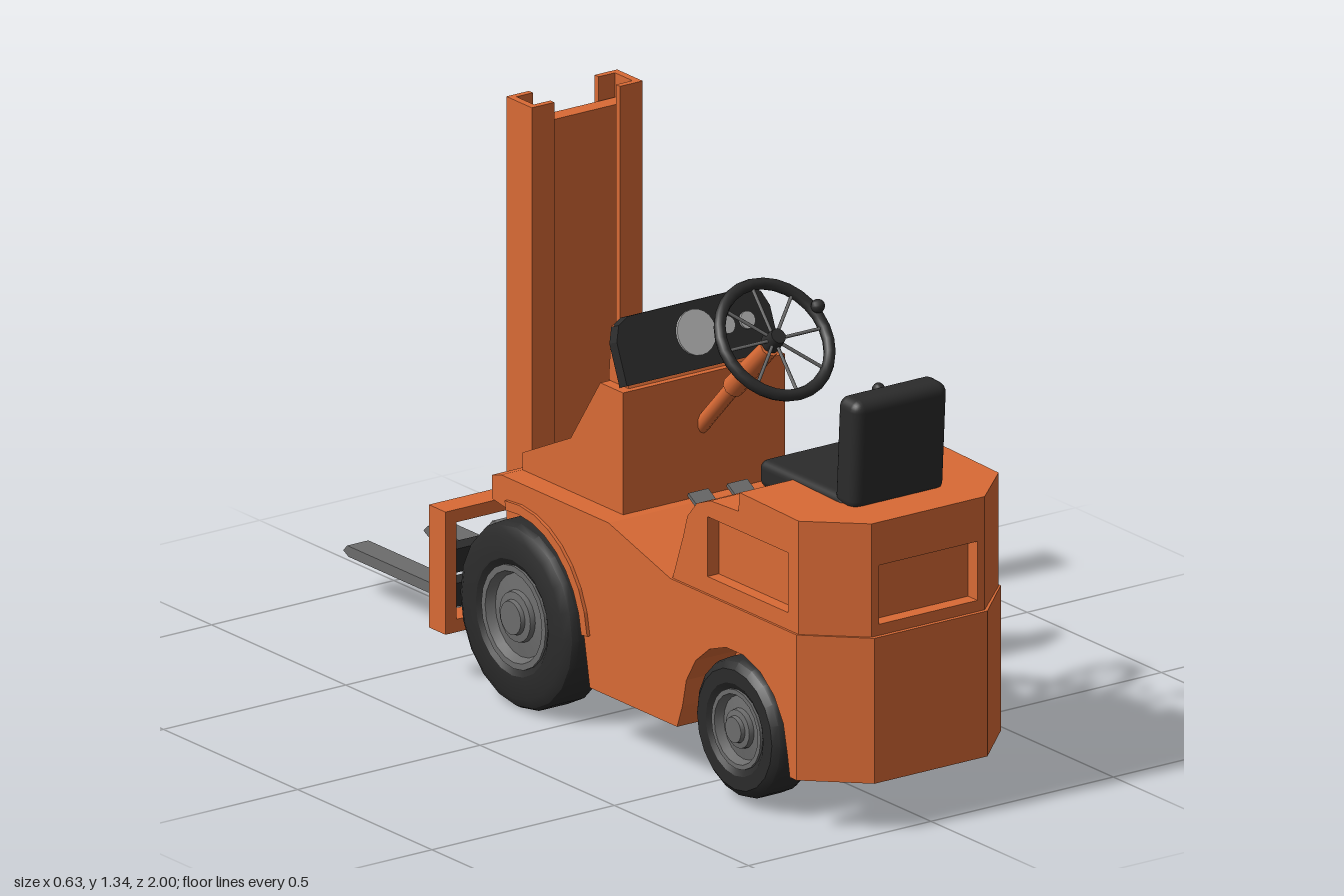
import * as THREE from 'three';
import { toCreasedNormals } from 'three/addons/utils/BufferGeometryUtils.js';
import { RoundedBoxGeometry } from 'three/addons/geometries/RoundedBoxGeometry.js';

const mat = (color) => new THREE.MeshStandardMaterial({ color });
const orange = mat(0xd96a35), black = mat(0x2b2b2b), grey = mat(0x6c6c6c), pale = mat(0xb8b8b8);

export function createModel() {
  const root = new THREE.Group();
  const add = (name, geo, material, x = 0, y = 0, z = 0, parent = root) => {
    const m = new THREE.Mesh(geo, material);
    m.name = name;
    m.position.set(x, y, z);
    parent.add(m);
    return m;
  };
  // box given by its limits on each axis
  const box = (name, material, x0, x1, y0, y1, z0, z1) =>
    add(name, new THREE.BoxGeometry(x1 - x0, y1 - y0, z1 - z0), material, (x0 + x1) / 2, (y0 + y1) / 2, (z0 + z1) / 2);
  const shapeOf = (pts) => new THREE.Shape(pts.map((p) => new THREE.Vector2(...p)));
  // side profile in (z, y), extruded across x
  const slab = (name, material, pts, x0, x1, hole) => {
    const s = shapeOf(pts);
    if (hole) s.holes.push(new THREE.Path(hole.map((p) => new THREE.Vector2(...p))));
    const g = new THREE.ExtrudeGeometry(s, { depth: x1 - x0, bevelEnabled: false }).rotateY(-Math.PI / 2);
    return add(name, g, material, x1);
  };
  // plan outline in (x, z), extruded up y
  const plan = (name, material, pts, y0, y1) => {
    const g = new THREE.ExtrudeGeometry(shapeOf(pts.map(([x, z]) => [x, -z])), { depth: y1 - y0, bevelEnabled: false });
    return add(name, g.rotateX(-Math.PI / 2), material, 0, y0);
  };
  // straight rod between two points
  const rod = (name, material, a, b, r0, r1 = r0, sides = 10) => {
    const p = new THREE.Vector3(...a), q = new THREE.Vector3(...b), d = q.clone().sub(p);
    const m = add(name, new THREE.CylinderGeometry(r1, r0, d.length(), sides), material);
    m.position.copy(p).lerp(q, 0.5);
    m.quaternion.setFromUnitVectors(new THREE.Vector3(0, 1, 0), d.normalize());
    return m;
  };

  // lower hull: full core, and outer sides with wheel arches
  const floorTop = [[-0.22, 0.525], [0.18, 0.525], [0.41, 0.46], [0.88, 0.46]];
  slab('hullCore', orange, [[0.88, 0.12], [-0.1, 0.12], [-0.255, 0.25], [-0.255, 0.515], ...floorTop], -0.165, 0.165);
  const arch = (cz, cy, r, a0, a1, n) => Array.from({ length: n + 1 }, (_, i) => {
    const a = a0 + (a1 - a0) * i / n;
    return [cz + r * Math.cos(a), cy + r * Math.sin(a)];
  });
  const sideProfile = [
    [0.88, 0.12], [0.855, 0.12], ...arch(0.65, 0.165, 0.195, 0.05, Math.PI - 0.05, 9), [0.435, 0.12],
    [0.11, 0.12], ...arch(-0.15, 0.215, 0.24, 0.05, 1.75, 8), [-0.255, 0.46], [-0.255, 0.515], ...floorTop];
  for (const s of [-1, 1]) {
    slab('hullSide', orange, sideProfile, s > 0 ? 0.165 : -0.28, s > 0 ? 0.28 : -0.165);
    // raised lip over the front wheel
    const lip = [...arch(-0.15, 0.215, 0.24, 0.1, 1.75, 8), ...arch(-0.15, 0.215, 0.262, 0.1, 1.75, 8).reverse()];
    slab('fenderLip', orange, lip, s * 0.282 - 0.006, s * 0.282 + 0.006);
  }

  // seat deck, with a recess in its right-hand side
  const deck = [[0.88, 0.46], [0.88, 0.725], [0.66, 0.73], [0.655, 0.685], [0.55, 0.68], [0.5, 0.66],
    [0.465, 0.62], [0.45, 0.57], [0.41, 0.46]];
  slab('deck', orange, deck, -0.243, 0.274);
  slab('deckSidePanel', orange, deck, -0.274, -0.243, [[0.54, 0.5], [0.84, 0.5], [0.84, 0.64], [0.54, 0.64]]);

  // counterweight with cut corners and a recessed panel
  const tail = (w, zEnd, notch = []) => [[-w, 0.88], [-0.155, zEnd], ...notch, [0.155, zEnd], [w, 0.88]];
  plan('counterweight', orange, tail(0.28, 1), 0.12, 0.46);
  plan('counterweightLow', orange, tail(0.274, 0.99), 0.46, 0.486);
  plan('counterweightPanel', orange, tail(0.274, 0.99, [[-0.135, 0.99], [-0.135, 0.955], [0.135, 0.955], [0.135, 0.99]]), 0.486, 0.624);
  plan('counterweightTop', orange, tail(0.274, 0.99), 0.624, 0.725);

  // hood and cowl
  slab('hood', orange, [[0.155, 0.52], [0.155, 0.81], [0.07, 0.81], [-0.04, 0.65], [-0.22, 0.565], [-0.22, 0.52]], -0.222, 0.222);
  slab('dashSupport', orange, [[0.14, 0.81], [0.085, 0.94], [0.075, 0.94], [0.065, 0.81]], -0.195, 0.195);

  // dashboard with gauges
  const dash = new THREE.Group();
  dash.name = 'dashboard';
  dash.position.set(0, 0.815, 0.135);
  dash.rotation.x = -0.39;
  root.add(dash);
  const dashShape = shapeOf([[-0.21, 0], [0.21, 0], [0.21, 0.1], [0.195, 0.135], [0.165, 0.15], [-0.165, 0.15], [-0.195, 0.135], [-0.21, 0.1]]);
  add('dashPanel', new THREE.ExtrudeGeometry(dashShape, { depth: 0.03, bevelEnabled: false }), black, 0, 0, -0.01, dash);
  for (const [x, r] of [[0, 0.052], [0.085, 0.02], [0.14, 0.02]])
    add('gauge', new THREE.CylinderGeometry(r, r, 0.01, 20).rotateX(Math.PI / 2), pale, x, 0.08, 0.021, dash);

  // steering column and wheel
  rod('columnLower', orange, [0, 0.67, 0.13], [0, 0.83, 0.285], 0.018);
  rod('columnUpper', orange, [0, 0.81, 0.265], [0, 0.94, 0.4], 0.026, 0.022);
  const steer = new THREE.Group();
  steer.name = 'steeringWheel';
  steer.position.set(0, 0.963, 0.418);
  steer.rotation.x = -0.71;
  root.add(steer);
  add('steeringRim', new THREE.TorusGeometry(0.136, 0.014, 8, 28), black, 0, 0, 0, steer);
  add('steeringHub', new THREE.CylinderGeometry(0.018, 0.024, 0.04, 12).rotateX(Math.PI / 2), black, 0, 0, 0, steer);
  for (let i = 0; i < 4; i++) {
    const spoke = add('spokePair', new THREE.CylinderGeometry(0.004, 0.004, 0.26, 6), grey, 0, 0, 0, steer);
    spoke.rotation.z = i * Math.PI / 4;
  }
  add('steeringKnob', new THREE.SphereGeometry(0.016, 10, 8), black, 0.128, 0.045, 0.022, steer);

  // seat
  add('seatCushion', new RoundedBoxGeometry(0.26, 0.065, 0.32, 3, 0.02), black, 0, 0.71, 0.69);
  const back = add('seatBack', new RoundedBoxGeometry(0.257, 0.26, 0.078, 3, 0.025), black, 0, 0.843, 0.852);
  back.rotation.x = 0.06;

  // hand levers: base z, knob x and z
  for (const [x, z0, z1] of [[0.18, 0.57, 0.595], [0.21, 0.55, 0.52], [0.25, 0.57, 0.595]]) {
    const path = new THREE.CatmullRomCurve3([[x - 0.01, 0.67, z0], [x - 0.01, 0.74, z0], [x, 0.78, z1], [x, 0.825, z1]]
      .map((p) => new THREE.Vector3(...p)));
    add('lever', new THREE.TubeGeometry(path, 10, 0.006, 6), grey);
    add('leverKnob', new THREE.SphereGeometry(0.015, 10, 8), black, x, 0.832, z1);
  }

  // pedals
  for (const x of [-0.057, 0.05]) {
    const pedal = add('pedal', new THREE.BoxGeometry(0.055, 0.008, 0.125), grey, x, 0.528, 0.263);
    pedal.rotation.x = 0.53;
    rod('pedalStem', grey, [x, 0.48, 0.22], [x, 0.535, 0.25], 0.007);
  }

  // wheels: tyre and stepped hub turned about the axle
  const turned = (pts, sides) => toCreasedNormals(new THREE.LatheGeometry(
    pts.map((p) => new THREE.Vector2(...p)), sides).rotateZ(-Math.PI / 2), 0.55);
  const wheel = (name, side, x, y, z, r, rim, w) => {
    const g = new THREE.Group();
    g.name = name;
    g.position.set(side * x, y, z);
    if (side < 0) g.rotation.y = Math.PI;
    root.add(g);
    const h = w / 2, c = r * 0.13;
    add('tyre', turned([[rim, -h + 0.01], [rim + 0.015, -h], [r - c, -h], [r - c * 0.25, -h + 0.012], [r, -h + 0.025],
      [r, h - 0.025], [r - c * 0.25, h - 0.012], [r - c, h], [rim + 0.015, h], [rim, h - 0.01], [rim, -h + 0.01]], 20), black, 0, 0, 0, g);
    add('hub', turned([[0, -h + 0.02], [rim, -h + 0.02], [rim, h - 0.004], [rim * 0.88, h - 0.004], [rim * 0.8, h - 0.025],
      [rim * 0.5, h - 0.02], [rim * 0.48, h - 0.008], [rim * 0.34, h - 0.006], [rim * 0.32, h + 0.004], [0, h + 0.004]], 20), grey, 0, 0, 0, g);
  };
  for (const s of [-1, 1]) {
    wheel('frontWheel', s, 0.237, 0.215, -0.15, 0.215, 0.12, 0.13);
    wheel('rearWheel', s, 0.227, 0.176, 0.655, 0.16, 0.092, 0.115);
  }
  rod('frontAxle', grey, [-0.2, 0.215, -0.15], [0.2, 0.215, -0.15], 0.03);
  rod('rearAxle', grey, [-0.2, 0.176, 0.655], [0.2, 0.176, 0.655], 0.03);

  // mast: two channels open to the middle, with a web plate and chains
  for (const s of [-1, 1]) {
    const rail = [[0.152, -0.28], [0.152, -0.375], [0.09, -0.375], [0.09, -0.36], [0.135, -0.36], [0.135, -0.295], [0.09, -0.295], [0.09, -0.28]];
    plan('mastRail', orange, rail.map(([x, z]) => [s * x, z]), 0.09, 1.34);
    box('liftChain', black, s * 0.062 - 0.012, s * 0.062 + 0.012, 0.15, 1.0, -0.378, -0.35);
  }
  box('mastPlate', orange, -0.135, 0.135, 0.1, 1.285, -0.355, -0.315);
  box('mastMount', orange, -0.08, 0.08, 0.14, 0.4, -0.32, -0.24);

  // fork carriage: open frame with dark cross bars
  const frame = shapeOf([[-0.315, 0.113], [0.315, 0.113], [0.315, 0.4], [-0.315, 0.4]]);
  frame.holes.push(new THREE.Path([[-0.285, 0.143], [0.285, 0.143], [0.285, 0.37], [-0.285, 0.37]].map((p) => new THREE.Vector2(...p))));
  add('carriageFrame', new THREE.ExtrudeGeometry(frame, { depth: 0.062, bevelEnabled: false }), orange, 0, 0, -0.442);
  for (const y of [0.17, 0.25]) box('carriageBar', black, -0.285, 0.285, y, y + 0.055, -0.43, -0.385);

  // forks
  const fork = [[-0.435, 0.09], [-0.98, 0.09], [-1, 0.1], [-0.985, 0.115], [-0.468, 0.115], [-0.468, 0.3], [-0.445, 0.325], [-0.42, 0.325], [-0.42, 0.3], [-0.435, 0.295]];
  for (const s of [-1, 1]) slab('fork', grey, fork, s * 0.11 - 0.029, s * 0.11 + 0.029);
  return root;
}
